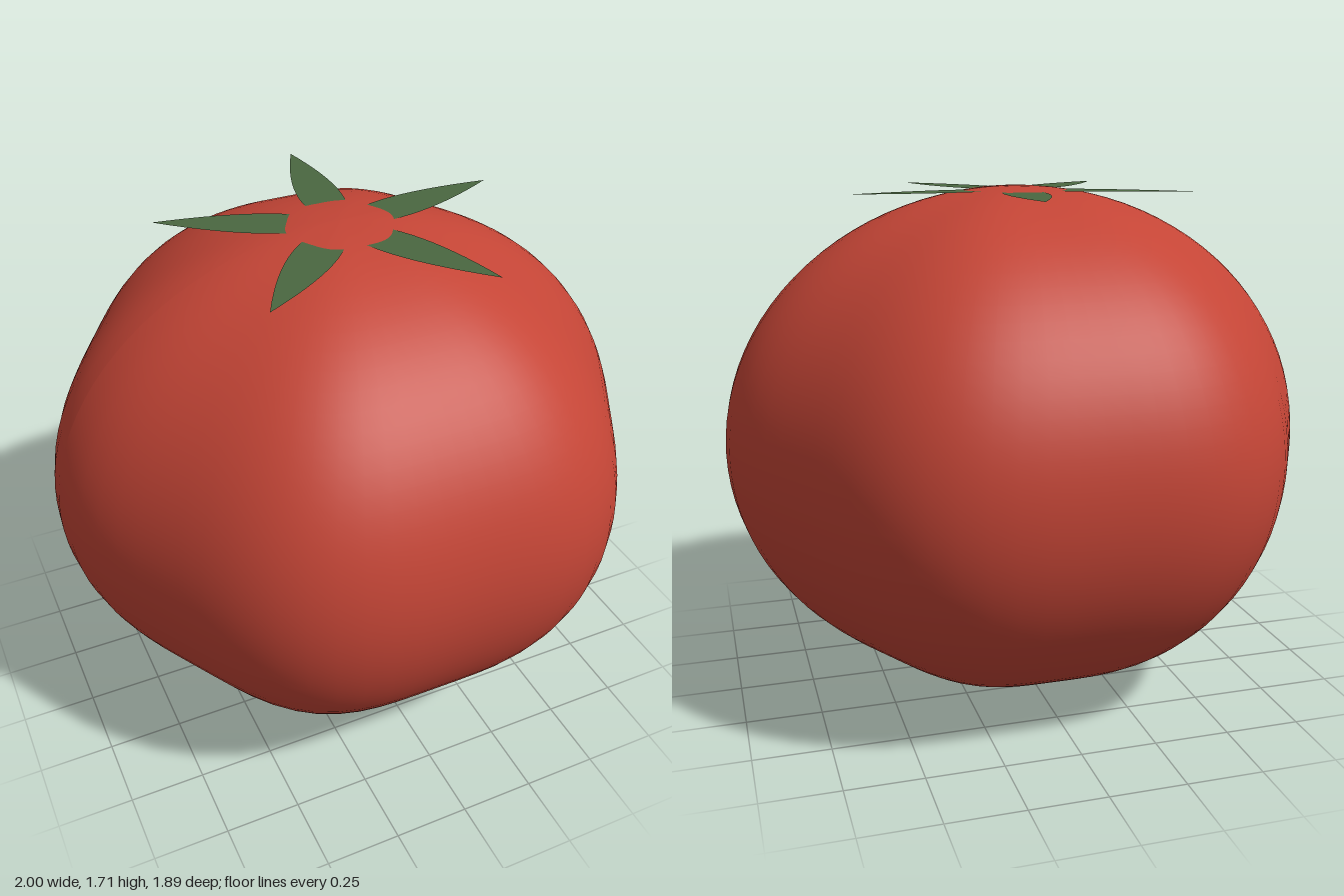
import * as THREE from 'three';

const HALF_HEIGHT = 0.857;

// Squashed sphere whose horizontal radius swells into six soft lobes
function lobedBody() {
  const geo = new THREE.SphereGeometry(1, 72, 48);
  const pos = geo.attributes.position;
  for (let i = 0; i < pos.count; i++) {
    const x = pos.getX(i), z = pos.getZ(i);
    const r = 0.9725 + 0.0275 * Math.cos(6 * Math.atan2(z, x));
    pos.setXYZ(i, x * r, pos.getY(i) * HALF_HEIGHT, z * r);
  }
  geo.computeVertexNormals();
  return geo;
}

// Flat pointed leaf running outwards along +x
function sepalLeaf() {
  const shape = new THREE.Shape();
  shape.moveTo(0, 0);
  shape.quadraticCurveTo(0.15, -0.145, 0.59, 0);
  shape.quadraticCurveTo(0.15, 0.145, 0, 0);
  return new THREE.ShapeGeometry(shape, 16).rotateX(-Math.PI / 2);
}

export function createModel() {
  const red = new THREE.MeshStandardMaterial({ color: 0xc44536 });
  red.name = 'tomatoRed';
  const green = new THREE.MeshStandardMaterial({ color: 0x4a6741, side: THREE.DoubleSide });
  green.name = 'leafGreen';

  const model = new THREE.Group();
  model.name = 'tomato';

  const body = new THREE.Mesh(lobedBody(), red);
  body.name = 'body';
  body.position.y = HALF_HEIGHT;
  model.add(body);

  // Crown of five level leaves, their inner ends sunk into the top of the fruit
  const crown = new THREE.Group();
  crown.name = 'crown';
  crown.position.y = 1.7;
  const leaf = sepalLeaf();
  for (let i = 0; i < 5; i++) {
    const sepal = new THREE.Mesh(leaf, green);
    sepal.name = 'sepal' + (i + 1);
    sepal.rotation.y = 0.18 + (i * Math.PI * 2) / 5;
    crown.add(sepal);
  }
  model.add(crown);
  return model;
}
